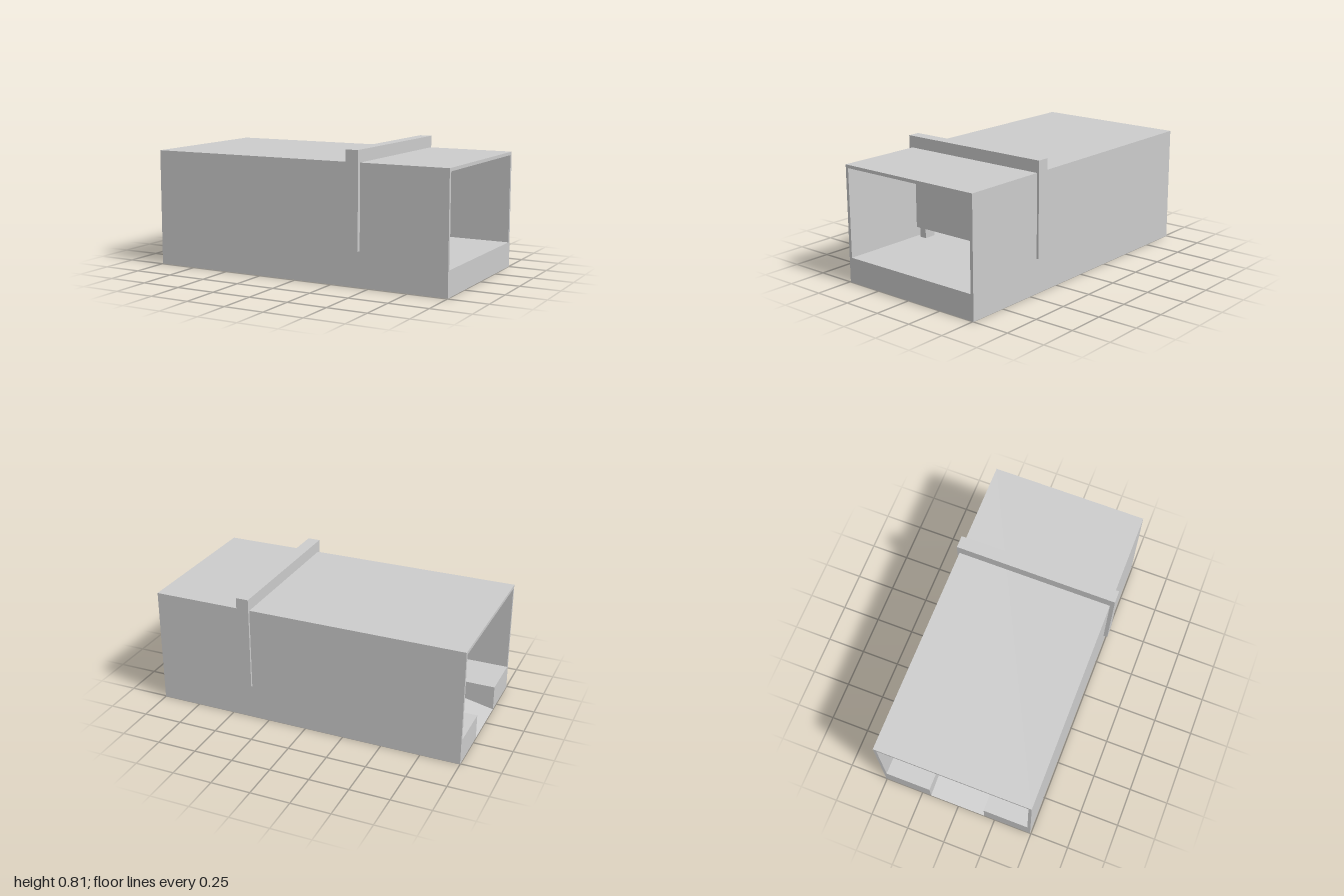
import * as THREE from 'three';

const material = new THREE.MeshStandardMaterial({ color: 0xcccccc, flatShading: true });

// Box given by its lower and upper corner
function box(name, [x0, y0, z0], [x1, y1, z1]) {
  const mesh = new THREE.Mesh(new THREE.BoxGeometry(x1 - x0, y1 - y0, z1 - z0), material);
  mesh.position.set((x0 + x1) / 2, (y0 + y1) / 2, (z0 + z1) / 2);
  mesh.name = name;
  return mesh;
}

// Outline in the plane, extruded to the given depth
function extrude(name, points, depth) {
  const shape = new THREE.Shape(points.map(([a, b]) => new THREE.Vector2(a, b)));
  const mesh = new THREE.Mesh(new THREE.ExtrudeGeometry(shape, { depth, bevelEnabled: false }), material);
  mesh.name = name;
  return mesh;
}

export function createModel() {
  const model = new THREE.Group();
  model.name = 'gatedTunnel';

  const height = 0.74, wall = 0.02, half = 0.5, floorTop = 0.16;
  const inner = half - wall, channel = 0.185, rampEnd = -0.25;

  const tunnel = new THREE.Group();
  tunnel.name = 'tunnel';
  tunnel.position.z = -0.006;
  model.add(tunnel);

  // Side walls and roof as one upside-down U running along x
  const shell = extrude('shell', [
    [-half, 0], [-inner, 0], [-inner, height - wall], [inner, height - wall],
    [inner, 0], [half, 0], [half, height], [-half, height],
  ], 2);
  shell.rotation.y = Math.PI / 2;
  shell.position.x = -1;
  tunnel.add(shell);

  // Raised floor on both sides of the ramp channel
  for (const [z0, z1] of [[-inner, -channel], [channel, inner]]) {
    tunnel.add(box('floorSide', [-1, 0, z0], [1, floorTop, z1]));
  }

  // Middle of the floor, sloping down to the ground at one end
  const ramp = extrude('floorRamp', [[-1, 0], [1, 0], [1, floorTop], [rampEnd, floorTop]], 2 * channel);
  ramp.position.z = -channel;
  tunnel.add(ramp);

  // Sliding gate slab through the tunnel, standing on two feet
  const gate = new THREE.Group();
  gate.name = 'gate';
  gate.add(box('gatePanel', [0.36, 0.22, -0.52], [0.44, 0.815, 0.52]));
  for (const z of [-0.435, 0.42]) {
    gate.add(box('gateFoot', [0.36, floorTop, z - 0.024], [0.44, 0.22, z + 0.024]));
  }
  model.add(gate);

  return model;
}
